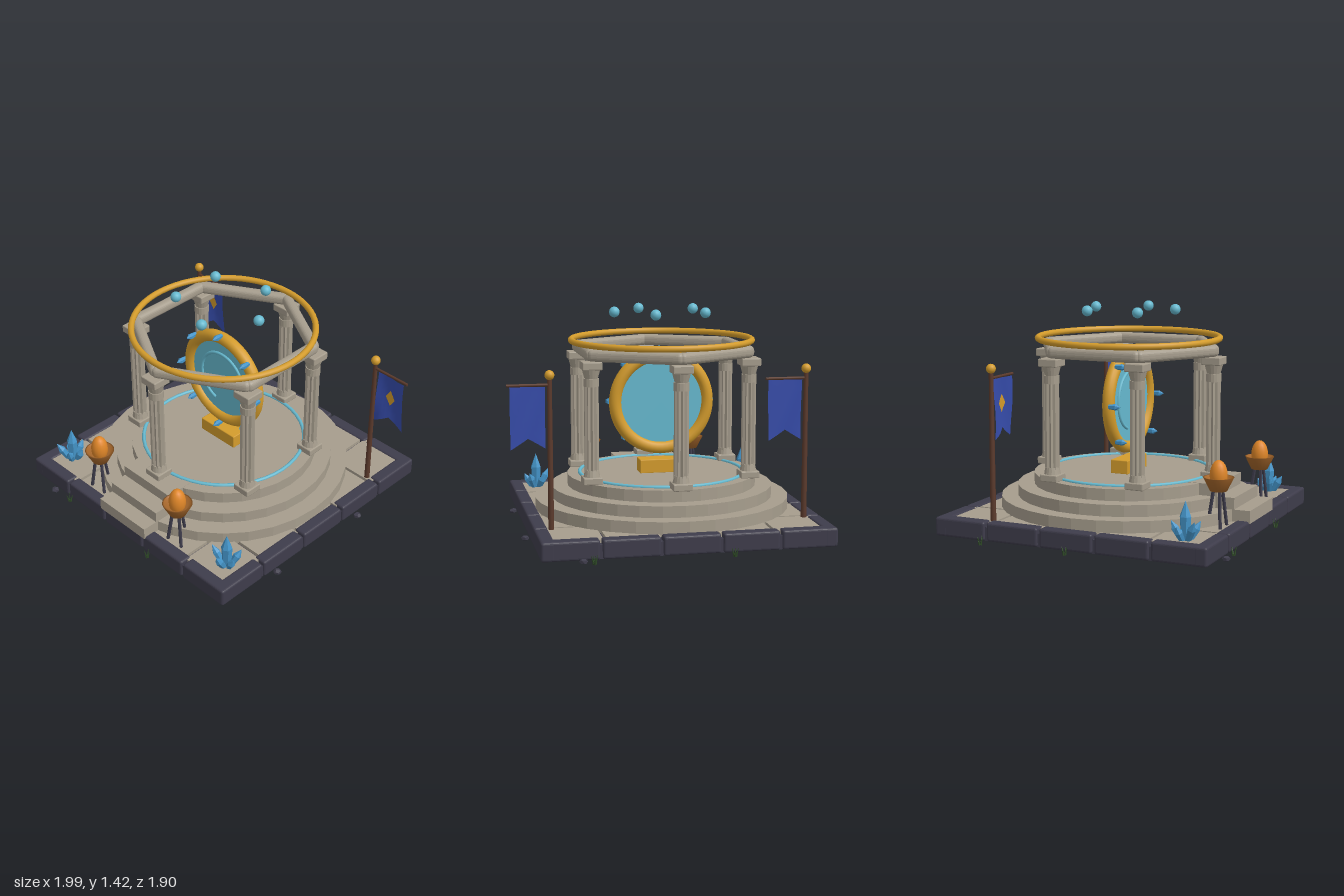
import * as THREE from 'three';
import { RoundedBoxGeometry } from 'three/addons/geometries/RoundedBoxGeometry.js';

const mat = (name, color, opts = {}) => new THREE.MeshStandardMaterial({ name, color, ...opts });

export function createModel() {
  const stone = mat('stone', 0xa69d8d, { flatShading: true });
  const slate = mat('slate', 0x3e3c4b, { flatShading: true });
  const gold = mat('gold', 0xd49c2c);
  const cyan = mat('glowing cyan', 0x66b9cf);
  const crystalBlue = mat('crystal blue', 0x4494c8, { flatShading: true });
  const flameOrange = mat('flame orange', 0xdf8628);
  const bronze = mat('bronze', 0xa3652a);
  const wood = mat('wood', 0x5b3a2c);
  const cloth = mat('banner blue', 0x364cab, { side: THREE.DoubleSide });
  const green = mat('grass green', 0x2f4a28, { flatShading: true });

  const root = new THREE.Group();
  root.name = 'portalShrine';
  const model = new THREE.Group();
  model.name = 'shrine';
  model.position.set(-0.053, 0, -0.005);
  root.add(model);

  const add = (name, geo, material, x = 0, y = 0, z = 0, parent = model) => {
    const m = new THREE.Mesh(geo, material);
    m.name = name;
    m.position.set(x, y, z);
    parent.add(m);
    return m;
  };
  const group = (name, x = 0, y = 0, z = 0) => {
    const g = new THREE.Group();
    g.name = name;
    g.position.set(x, y, z);
    model.add(g);
    return g;
  };
  // thin round bar between two points
  const bar = (name, a, b, r0, r1, material, parent, sides = 8) => {
    const d = b.clone().sub(a);
    const m = add(name, new THREE.CylinderGeometry(r1, r0, d.length(), sides), material, 0, 0, 0, parent);
    m.position.copy(a).addScaledVector(d, 0.5);
    m.quaternion.setFromUnitVectors(new THREE.Vector3(0, 1, 0), d.normalize());
    return m;
  };
  const V = (x, y, z) => new THREE.Vector3(x, y, z);

  // Base slab, paving and border blocks
  add('baseSlab', new THREE.BoxGeometry(1.77, 0.085, 1.77), slate, 0, 0.0595, 0);
  const tileGeo = new THREE.BoxGeometry(0.322, 0.03, 0.322);
  for (let i = -2; i <= 2; i++) for (let j = -2; j <= 2; j++)
    add('floorTile', tileGeo, stone, i * 0.342, 0.11, j * 0.342);
  const blockGeo = new RoundedBoxGeometry(0.348, 0.118, 0.085, 2, 0.015);
  for (let i = -2; i <= 2; i++) for (const s of [-1, 1]) {
    add('borderBlock', blockGeo, slate, i * 0.363, 0.075, s * 0.857);
    add('borderBlock', blockGeo, slate, s * 0.857, 0.075, i * 0.363).rotation.y = Math.PI / 2;
  }

  // Round stepped platform and front stairs
  [[0.82, 0.198], [0.715, 0.27], [0.61, 0.343]].forEach(([r, top]) =>
    add('platformStep', new THREE.CylinderGeometry(r, r, top - 0.11, 32), stone, 0, (top + 0.11) / 2, 0));
  [[0.905, 0.2], [0.803, 0.272], [0.69, 0.345]].forEach(([front, top]) =>
    add('stair', new THREE.BoxGeometry(0.42, top - 0.12, front - 0.5), stone, 0, (top + 0.12) / 2, (front + 0.5) / 2));
  add('floorRing', new THREE.TorusGeometry(0.53, 0.012, 8, 48), cyan, 0, 0.345, 0).rotation.x = Math.PI / 2;

  // Six fluted pillars with roof beams
  const shaftGeo = new THREE.CylinderGeometry(0.046, 0.046, 0.58, 20);
  const sp = shaftGeo.attributes.position;
  for (let i = 0; i < sp.count; i++) {
    const k = Math.round(Math.atan2(sp.getX(i), sp.getZ(i)) / (Math.PI / 10));
    const f = k % 2 ? 0.78 : 1;
    sp.setX(i, sp.getX(i) * f);
    sp.setZ(i, sp.getZ(i) * f);
  }
  const plinthGeo = new RoundedBoxGeometry(0.12, 0.045, 0.12, 1, 0.006);
  const abacusGeo = new RoundedBoxGeometry(0.125, 0.05, 0.125, 1, 0.006);
  const collarGeo = new THREE.CylinderGeometry(0.044, 0.053, 0.045, 16);
  const capGeo = new THREE.CylinderGeometry(0.058, 0.042, 0.06, 16);
  const neckGeo = new THREE.CylinderGeometry(0.048, 0.048, 0.05, 16);
  const beamGeo = new RoundedBoxGeometry(0.615, 0.075, 0.07, 3, 0.03);
  for (let i = 0; i < 6; i++) {
    const a = i * Math.PI / 3;
    const p = group('pillar', 0.58 * Math.sin(a), 0, 0.58 * Math.cos(a));
    add('plinth', plinthGeo, stone, 0, 0.363, 0, p);
    add('baseCollar', collarGeo, stone, 0, 0.405, 0, p);
    add('flutedShaft', shaftGeo, stone, 0, 0.69, 0, p);
    add('neck', neckGeo, stone, 0, 0.975, 0, p);
    add('capital', capGeo, stone, 0, 1.028, 0, p);
    add('abacus', abacusGeo, stone, 0, 1.08, 0, p);
    const b = a + Math.PI / 6;
    add('roofBeam', beamGeo, stone, 0.502 * Math.sin(b), 1.14, 0.502 * Math.cos(b)).rotation.y = b;
  }
  add('roofRing', new THREE.TorusGeometry(0.578, 0.02, 10, 64), gold, 0, 1.2, 0).rotation.x = Math.PI / 2;

  // Hexagonal crystal with a pointed tip, standing on its origin
  const crystalGeo = (r, h) => new THREE.LatheGeometry(
    [[0, 0], [r * 0.75, 0], [r, h * 0.6], [0, h]].map(([x, y]) => new THREE.Vector2(x, y)), 6);

  // Portal
  const portal = group('portal', 0, 0.8, 0);
  add('portalFrame', new THREE.TorusGeometry(0.302, 0.04, 14, 56), gold, 0, 0, 0, portal);
  add('portalSurface', new THREE.CylinderGeometry(0.285, 0.285, 0.02, 48), cyan, 0, 0, 0, portal).rotation.x = Math.PI / 2;
  add('portalSwirl', new THREE.TorusGeometry(0.185, 0.011, 8, 48, Math.PI * 1.4), cyan, 0, 0, 0.012, portal);
  const studGeo = crystalGeo(0.02, 0.08);
  for (let i = 0; i < 8; i++) {
    const a = i * Math.PI / 4;
    add('frameCrystal', studGeo, crystalBlue, 0.335 * Math.cos(a), 0.335 * Math.sin(a), 0.018, portal).rotation.x = Math.PI / 2;
  }
  add('portalPedestal', new RoundedBoxGeometry(0.3, 0.09, 0.12, 1, 0.006), gold, 0, 0.385, 0);

  // Floating orbs
  const orbGeo = new THREE.SphereGeometry(0.034, 16, 12);
  for (let i = 0; i < 5; i++) {
    const a = i * Math.PI * 0.4;
    add('floatingOrb', orbGeo, cyan, 0.305 * Math.cos(a), 1.38, 0.293 * Math.sin(a));
  }

  // Banner cloth, gently waved, with a swallowtail lower edge
  const wave = (x, y) => 0.012 * Math.sin(x * 22 + y * 9);
  const clothGeo = new THREE.PlaneGeometry(0.21, 1, 8, 8);
  const cp = clothGeo.attributes.position;
  for (let i = 0; i < cp.count; i++) {
    const x = cp.getX(i), t = 0.5 - cp.getY(i);
    const y = -t * (0.31 + 0.065 * Math.abs(x) / 0.105);
    cp.setXYZ(i, x, y, wave(x, y));
  }
  clothGeo.computeVertexNormals();
  const diamond = new THREE.PlaneGeometry(0.075, 0.075, 4, 4);
  diamond.rotateZ(Math.PI / 4);
  diamond.scale(0.68, 1.08, 1);
  const dp = diamond.attributes.position;
  for (let i = 0; i < dp.count; i++) dp.setZ(i, wave(dp.getX(i), dp.getY(i) - 0.16) + 0.005);

  for (const s of [-1, 1]) {
    // Banner
    const f = group('banner', s * 0.793, 0, -0.547);
    add('pole', new THREE.CylinderGeometry(0.014, 0.018, 0.93, 10), wood, 0, 0.585, 0, f);
    add('finial', new THREE.SphereGeometry(0.03, 14, 10), gold, 0, 1.06, 0, f);
    bar('crossbar', V(-0.01, 1.002, 0), V(0.256, 1.002, 0), 0.009, 0.009, wood, f);
    add('clothPanel', clothGeo, cloth, 0.132, 0.993, 0, f);
    add('diamondEmblem', diamond, gold, 0.132, 0.833, 0, f);

    // Brazier on three legs
    const b = group('brazier', s * 0.366, 0, 0.76);
    const bowl = [[0, 0.345], [0.052, 0.345], [0.094, 0.428], [0.084, 0.428], [0.06, 0.4], [0, 0.4]];
    add('bowl', new THREE.LatheGeometry(bowl.map(([x, y]) => new THREE.Vector2(x, y)), 20), bronze, 0, 0, 0, b);
    add('flame', new THREE.SphereGeometry(0.054, 16, 12), flameOrange, 0, 0.44, 0, b).scale.y = 1.7;
    for (let i = 0; i < 3; i++) {
      const a = i * Math.PI * 2 / 3 + 0.5;
      bar('leg', V(0.068 * Math.cos(a), 0.12, 0.068 * Math.sin(a)),
        V(0.03 * Math.cos(a), 0.36, 0.03 * Math.sin(a)), 0.011, 0.011, slate, b, 6);
    }

    // Crystal cluster
    const c = group('crystalCluster', s * 0.735, 0.12, 0.7);
    add('mainCrystal', crystalGeo(0.036, 0.235), crystalBlue, 0, 0, 0, c);
    for (let i = 0; i < 5; i++) {
      const a = i * Math.PI * 0.4 + 0.3 * s, h = 0.11 + 0.02 * (i % 3);
      const m = add('sideCrystal', crystalGeo(0.025, h), crystalBlue, 0.025 * Math.cos(a), 0, 0.025 * Math.sin(a), c);
      m.quaternion.setFromUnitVectors(V(0, 1, 0), V(Math.cos(a) * 0.6, 1, Math.sin(a) * 0.6).normalize());
    }
  }

  // Loose rocks and grass tufts around the base
  const rockGeo = new THREE.DodecahedronGeometry(0.026, 0);
  [[0.925, -0.305], [0.922, 0.445], [-0.66, 0.925], [0.655, -0.92]].forEach(([x, z], i) => {
    const r = add('rock', rockGeo, slate, x, 0.018, z);
    r.scale.y = 0.65;
    r.rotation.y = i;
  });
  const bladeGeo = new THREE.ConeGeometry(0.007, 0.06, 4);
  [[-0.925, -0.565], [-0.925, 0.01], [-0.517, 0.918], [0.243, 0.918], [-0.25, -0.925], [0.592, -0.93]].forEach(([x, z]) => {
    const g = group('grassTuft', x, 0, z);
    for (let i = 0; i < 4; i++) {
      const a = i * Math.PI / 2 + x * 5;
      const m = add('blade', bladeGeo, green, 0.013 * Math.cos(a), 0.029, 0.013 * Math.sin(a), g);
      m.rotation.set(0.25 * Math.sin(a), 0, -0.25 * Math.cos(a));
    }
  });
  return root;
}
